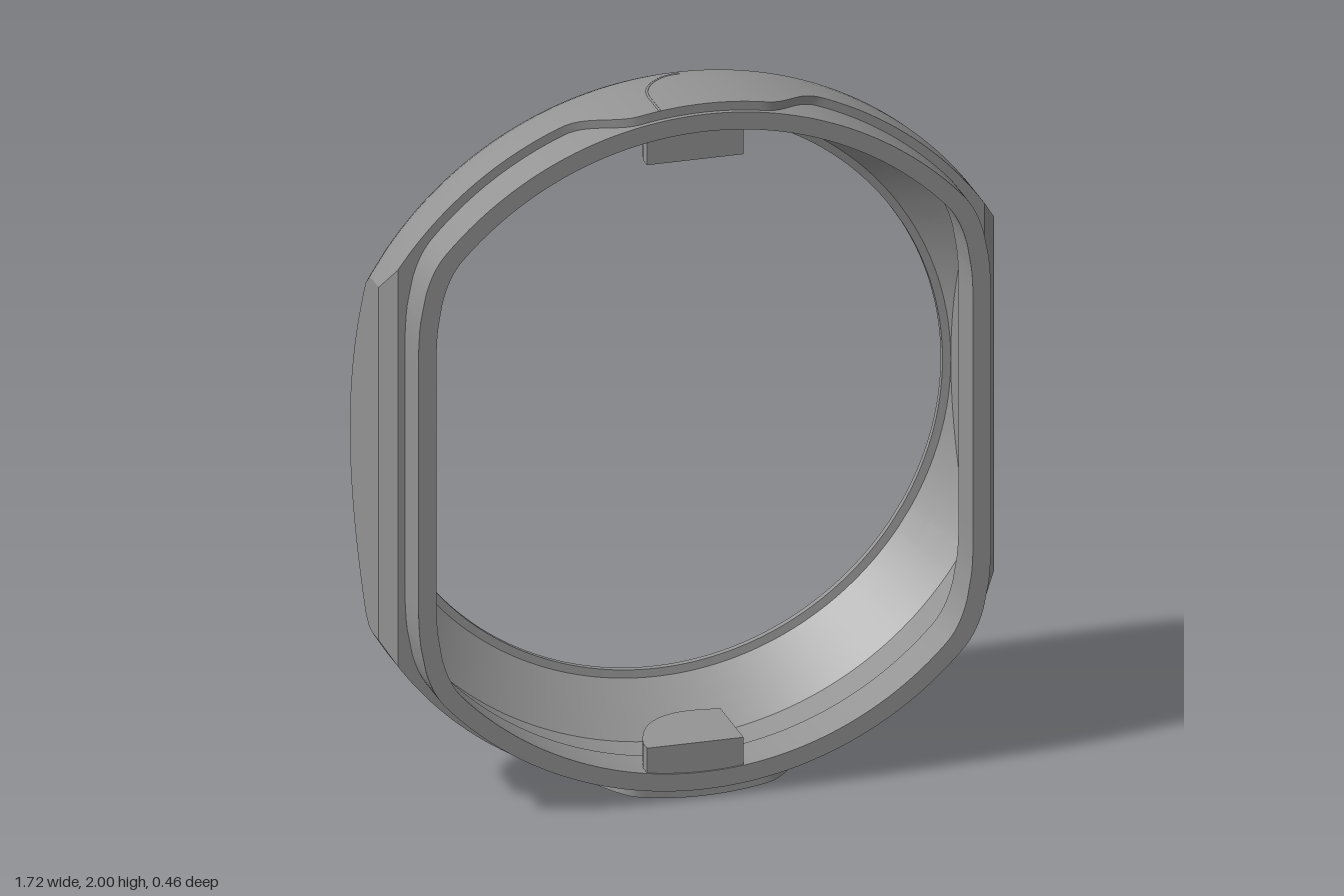
import * as THREE from 'three';
import { toCreasedNormals } from 'three/addons/utils/BufferGeometryUtils.js';

const material = new THREE.MeshStandardMaterial({ color: 0x949494 });

// Half-widths of the side flats, outside and inside, and the angles of their curved corners
const OUTER_FLAT = 0.86, INNER_FLAT = 0.82;
const maxCorner = Math.acos(OUTER_FLAT / 0.983);
const corners = Array.from({ length: 13 }, (_, k) => k / 12 * maxCorner);

function addMesh(group, name, geometry) {
  const mesh = new THREE.Mesh(geometry, material);
  mesh.name = name;
  group.add(mesh);
  return mesh;
}

// Circle of radius r cut by flats at x = +-flat, corners blended over k
function clippedRadius(r, flat, k, c) {
  const f = flat / Math.max(Math.abs(c), 1e-4);
  const h = k > 0 ? Math.max(k - Math.abs(r - f), 0) / k : 0;
  return Math.min(r, f) - h * h * k / 4;
}

// Front edge of the body: level at the sides, stepping forward at top and bottom
const frontEdge = c => 0.105 + 0.11 * (1 - THREE.MathUtils.smoothstep(Math.abs(c), 0.18, 0.36));

// Cross-section rows: [radius, z (null = body front edge), flat half-width, corner blend]
function ringSection() {
  // Sloped wall whose rows meet the flat exactly at the corner angles
  const slope = (flat, zNear, zFar) => corners.map(a => {
    const r = flat / Math.cos(a);
    const t = (r - flat) / (flat / Math.cos(maxCorner) - flat);
    return [r, zNear + (zFar - zNear) * t, flat, 0];
  });
  return [
    [0.925, 0.23, 0.75, 0.1],
    [0.975, 0.23, 0.80, 0.1],
    [0.975, null, 0.80, 0.1],
    [1.0, null, 0.82, 0],
    [1.0, 0.06, OUTER_FLAT, 0],
    [1.0, 0.0, OUTER_FLAT, 0],
    [0.996, -0.03, OUTER_FLAT, 0],
    ...slope(OUTER_FLAT, -0.206, -0.06).reverse(), // outer back slope
    [0.84, -0.23, OUTER_FLAT, 0],
    [0.798, -0.23, INNER_FLAT, 0],
    [0.798, -0.212, INNER_FLAT, 0],
    ...slope(INNER_FLAT, -0.208, -0.04), // inner back slope
    [0.937, 0.06, INNER_FLAT, 0],
    [0.937, 0.095, 0.80, 0.08],
    [0.925, 0.095, 0.75, 0.1],
  ];
}

// Angles round the ring: flat corners near the sides, even steps elsewhere
function ringAngles() {
  const quarter = [...corners];
  for (const x of [0.86 / 0.996, 0.86, 0.82]) quarter.push(Math.acos(x));
  const start = quarter[quarter.length - 1], steps = 48;
  for (let i = 1; i <= steps; i++) quarter.push(start + (Math.PI / 2 - start) * i / steps);
  const half = [...quarter, ...quarter.slice(1, -1).reverse().map(a => Math.PI - a)];
  return [...half, ...half.map(a => a + Math.PI)];
}

function ringGeometry() {
  const rows = ringSection(), angles = ringAngles(), n = rows.length;
  const points = angles.map(a => {
    const c = Math.cos(a), s = Math.sin(a);
    return rows.map(([radius, z, flat, k]) => {
      const r = clippedRadius(radius, flat, k, c);
      return new THREE.Vector3(r * c, r * s, z === null ? frontEdge(c) : z);
    });
  });
  const positions = [];
  const triangle = (...corner) => corner.forEach(p => positions.push(p.x, 1 + p.y, p.z));
  const reach = (p, q) => Math.hypot(p.x + q.x, p.y + q.y);
  points.forEach((column, i) => {
    const next = points[(i + 1) % points.length];
    for (let j = 0; j < n; j++) {
      const j2 = (j + 1) % n;
      const a = column[j], b = column[j2], c = next[j], d = next[j2];
      // Split each face along its outermost diagonal so the corners stay crisp
      if (reach(b, c) > reach(a, d)) {
        triangle(a, b, c);
        triangle(b, d, c);
      } else {
        triangle(a, b, d);
        triangle(a, d, c);
      }
    }
  });
  const geometry = new THREE.BufferGeometry();
  geometry.setAttribute('position', new THREE.Float32BufferAttribute(positions, 3));
  return toCreasedNormals(geometry, 0.4);
}

// Inner tab: straight front and right edges, rounded at the back left
function tabGeometry() {
  const shape = new THREE.Shape();
  shape.moveTo(-0.16, -0.225);
  shape.lineTo(0.11, -0.225);
  shape.lineTo(0.11, -0.01);
  shape.lineTo(0.03, 0);
  shape.quadraticCurveTo(-0.12, 0, -0.16, -0.19);
  shape.closePath();
  const geometry = new THREE.ExtrudeGeometry(shape, { depth: 0.1, bevelEnabled: false, curveSegments: 12 });
  geometry.rotateX(-Math.PI / 2);
  return toCreasedNormals(geometry, 0.5);
}

// Fine seam on the outside of the ring, curving back from the front edge
function seamGeometry(side) {
  const points = [];
  const add = (x, z) => points.push(new THREE.Vector3(x, 1 + side * Math.sqrt(0.998 ** 2 - x * x), z));
  add(-0.12, 0.213);
  add(-0.12, 0.16);
  for (let i = 0; i <= 8; i++) {
    const a = i / 8 * Math.PI / 2;
    add(-0.12 * Math.cos(a), 0.11 - 0.12 * Math.sin(a));
  }
  return new THREE.TubeGeometry(new THREE.CatmullRomCurve3(points), 40, 0.004, 6);
}

export function createModel() {
  const group = new THREE.Group();
  group.name = 'bezelRing';

  addMesh(group, 'ringBody', ringGeometry());

  // Locking tabs and seams at the top and bottom
  for (const [name, side, y] of [['top', 1, 1.845], ['bottom', -1, 0.06]]) {
    addMesh(group, name + 'Tab', tabGeometry()).position.y = y;
    addMesh(group, name + 'Seam', seamGeometry(side));
  }
  return group;
}
